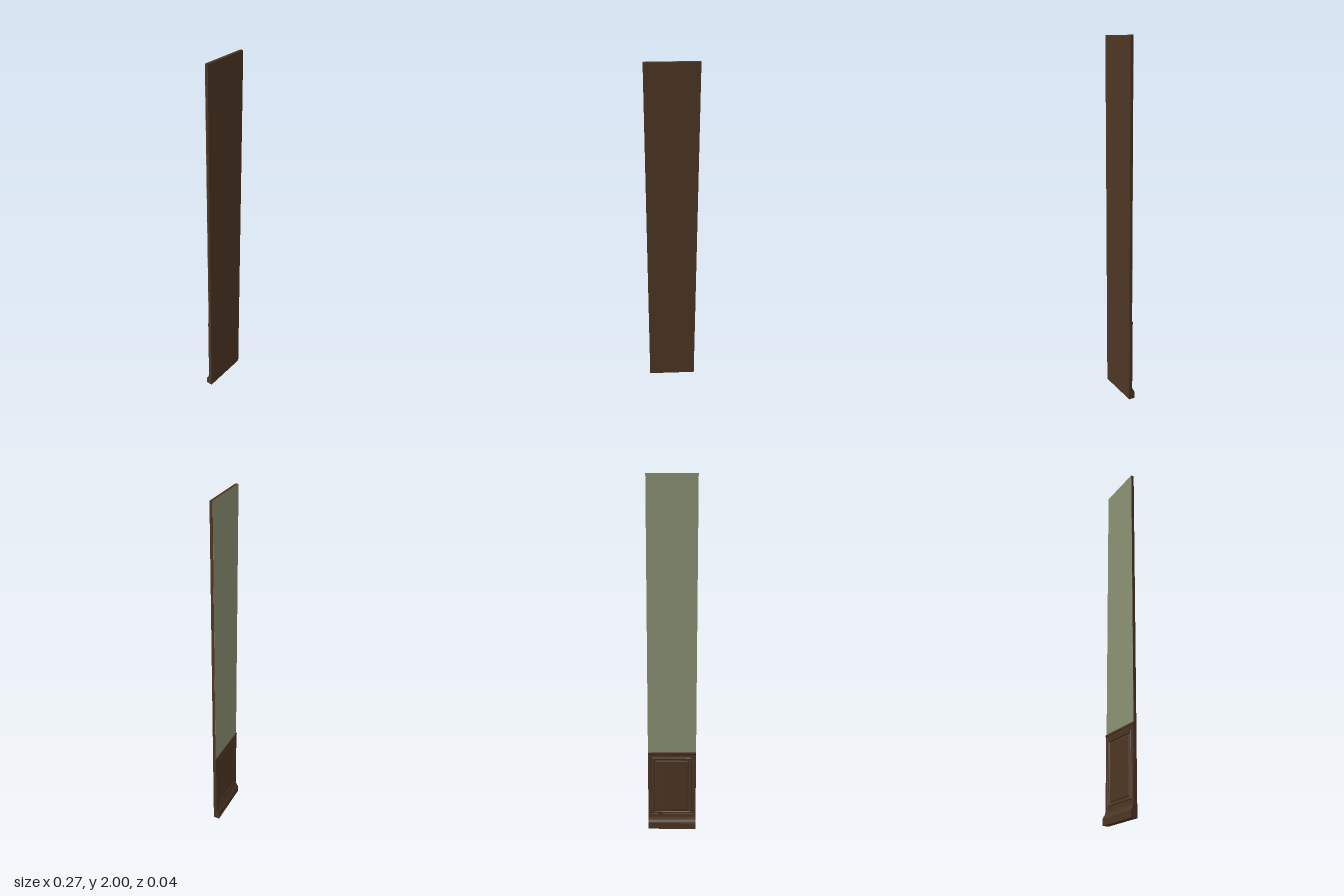
import * as THREE from 'three';

const HALF = 0.137;    // half the width of the wall section
const BACK = 0.001;    // z of the wall's decorated face
const RAIL_TOP = 0.472;

const wood = new THREE.MeshStandardMaterial({ color: 0x4d3623 });
wood.name = 'dark brown wood';
const paint = new THREE.MeshStandardMaterial({ color: 0x8a9171 });
paint.name = 'sage green paint';

function add(group, name, geometry, material) {
  const mesh = new THREE.Mesh(geometry, material);
  mesh.name = name;
  group.add(mesh);
  return mesh;
}

// Sweeps a [z, y] profile across the full width
function molding(profile) {
  const shape = new THREE.Shape(profile.map(([z, y]) => new THREE.Vector2(z, y)));
  const g = new THREE.ExtrudeGeometry(shape, { depth: HALF * 2, bevelEnabled: false });
  g.rotateY(-Math.PI / 2);
  g.translate(HALF, 0, 0);
  return g;
}

// Mitred rectangular steps facing -z; each ring is [half width, bottom, top, z]
function steppedPanel(rings) {
  const corners = rings.map(([w, lo, hi, z]) => [[-w, lo, z], [w, lo, z], [w, hi, z], [-w, hi, z]]);
  const points = [];
  const tri = (a, b, c) => points.push(...a, ...b, ...c);
  for (let r = 0; r < corners.length - 1; r++) {
    const outer = corners[r], inner = corners[r + 1];
    for (let i = 0; i < 4; i++) {
      const j = (i + 1) % 4;
      tri(outer[i], inner[j], outer[j]);
      tri(outer[i], inner[i], inner[j]);
    }
  }
  const last = corners[corners.length - 1];
  tri(last[0], last[2], last[1]);
  tri(last[0], last[3], last[2]);
  const g = new THREE.BufferGeometry();
  g.setAttribute('position', new THREE.Float32BufferAttribute(points, 3));
  g.computeVertexNormals();
  return g;
}

export function createModel() {
  const group = new THREE.Group();
  group.name = 'wallSection';

  // Full-height board
  const board = add(group, 'wallBoard', new THREE.BoxGeometry(HALF * 2, 2, 0.017 - BACK), wood);
  board.position.set(0, 1, (0.017 + BACK) / 2);

  // Painted upper wall
  const h = 2 - RAIL_TOP + 0.004;
  const face = add(group, 'paintedWall', new THREE.BoxGeometry(HALF * 2, h, 0.001), paint);
  face.position.set(0, 2 - h / 2, BACK - 0.0005);

  // Wainscot with a recessed, raised-centre panel
  add(group, 'wainscotPanel', steppedPanel([
    [HALF, 0.03, 0.465, BACK],
    [HALF, 0.03, 0.465, -0.0025],
    [0.117, 0.088, 0.440, -0.0025],
    [0.115, 0.090, 0.438, -0.0005],
    [0.110, 0.095, 0.433, -0.0035],
    [0.104, 0.101, 0.427, -0.003],
    [0.100, 0.105, 0.423, 0.0005],
    [0.096, 0.109, 0.419, 0.0005],
    [0.090, 0.115, 0.413, -0.002],
  ]), wood);

  // Stepped skirting at the floor
  add(group, 'baseboard', molding([
    [BACK, 0], [-0.0185, 0], [-0.0185, 0.036], [-0.016, 0.042],
    [-0.011, 0.049], [-0.007, 0.054], [-0.006, 0.060], [-0.004, 0.066], [BACK, 0.068],
  ]), wood);

  // Cap rail above the panelling
  add(group, 'chairRail', molding([
    [BACK, 0.450], [-0.003, 0.452], [-0.0035, 0.457], [-0.006, 0.462],
    [-0.006, 0.469], [-0.004, RAIL_TOP], [BACK, RAIL_TOP],
  ]), wood);

  return group;
}
